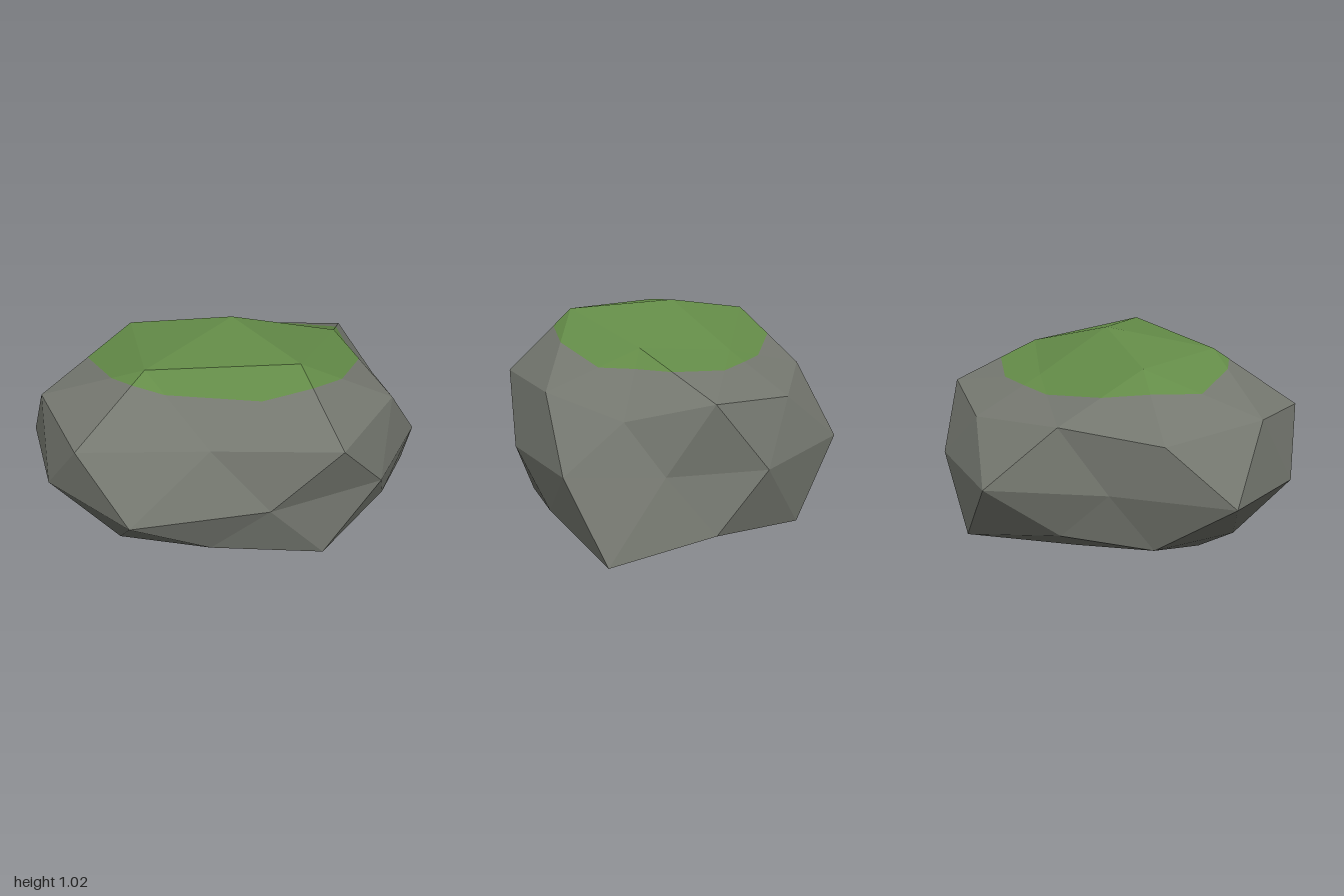
import * as THREE from 'three';

const CENTRE = new THREE.Vector3(0, 0.37, 0.035);
const SCALE = new THREE.Vector3(1, 0.59, 0.77);

// One ring of boulder corners: unit height, first angle in degrees, radius factors,
// and how far each corner lies inside (+) or outside (-) the moss patch
function ring(height, start, radii, moss) {
  const flat = Math.sqrt(1 - height * height);
  return radii.map((r, i) => {
    const a = THREE.MathUtils.degToRad(start + (i * 360) / radii.length);
    const p = new THREE.Vector3(Math.cos(a) * flat, height, Math.sin(a) * flat)
      .multiplyScalar(r).multiply(SCALE).add(CENTRE);
    p.y = Math.max(p.y, 0); // flat underside
    return { p, moss: Array.isArray(moss) ? moss[i] : moss };
  });
}

// Keep the part of a polygon inside (sign 1) or outside (sign -1) the moss patch
function clip(poly, sign) {
  const out = [];
  poly.forEach((a, i) => {
    const b = poly[(i + 1) % poly.length];
    if (a.moss * sign > 0) out.push(a.p);
    if (a.moss * b.moss < 0) out.push(a.p.clone().lerp(b.p, a.moss / (a.moss - b.moss)));
  });
  return out;
}

function surface(name, faces, sign, material) {
  const pos = [];
  for (const face of faces) {
    const pts = clip(face, sign);
    for (let i = 1; i + 1 < pts.length; i++) {
      for (const p of [pts[0], pts[i], pts[i + 1]]) pos.push(p.x, p.y, p.z);
    }
  }
  const geometry = new THREE.BufferGeometry();
  geometry.setAttribute('position', new THREE.Float32BufferAttribute(pos, 3));
  geometry.computeVertexNormals(); // unshared corners give flat facets
  const mesh = new THREE.Mesh(geometry, material);
  mesh.name = name;
  return mesh;
}

export function createModel() {
  // Corner rings from the crown down to the base
  const [top] = ring(1, 0, [1.1], 2);
  const crown = ring(0.8507, 0, [1.016, 1.225, 1.125, 1.09, 0.87], [1.05, 1, 0.6, 1.3, 0.9]);
  const shoulder = ring(0.4472, 0, [0.86, 1.165, 1.16, 0.98, 0.985], -2.57);
  const shoulderMid = ring(0.5257, 36, [1.025, 0.95, 1.115, 0.98, 1.05], -1.33);
  const waist = ring(0, 18, [0.97, 0.995, 0.935, 1.1, 1.02, 1.053, 0.81, 1.1, 0.99, 0.84], -3);
  const foot = ring(-0.4472, 36, [0.98, 0.94, 0.915, 0.9, 1.035], -3);
  const footMid = ring(-0.5257, 0, [1.176, 1.09, 0.96, 0.9, 1.14], -3);
  const base = ring(-0.8507, 36, [1, 1.1, 1.18, 1.05, 1], -3);
  const [bottom] = ring(-1, 0, [1], -3);

  // Sixteen facets in each of the five sectors
  const faces = [];
  for (let k = 0; k < 5; k++) {
    const n = (k + 1) % 5, q = (k + 4) % 5;
    const A = crown[k], A2 = crown[n], V = shoulder[k], V2 = shoulder[n], M = shoulderMid[k];
    const E0 = waist[(2 * k + 9) % 10], E1 = waist[2 * k], E2 = waist[2 * k + 1];
    const W = foot[k], L = footMid[k], L2 = footMid[n], B = base[k], B0 = base[q];
    faces.push(
      [top, A, A2], [A, M, A2], [A, V, M], [A2, M, V2],
      [V, E1, M], [M, E1, E2], [M, E2, V2], [V, E0, E1],
      [W, E1, E2], [L, E0, E1], [L, E1, W], [W, E2, L2],
      [B, L, W], [B, W, L2], [B, B0, L], [bottom, B, B0],
    );
  }

  // Turn every facet outward
  for (const f of faces) {
    const [a, b, c] = f.map((v) => v.p);
    const normal = b.clone().sub(a).cross(c.clone().sub(a));
    const mid = a.clone().add(b).add(c).divideScalar(3).sub(CENTRE);
    if (normal.dot(mid) < 0) f.reverse();
  }

  const stone = new THREE.MeshStandardMaterial({ color: 0x757870 });
  stone.name = 'stone grey';
  const green = new THREE.MeshStandardMaterial({ color: 0x648c48 });
  green.name = 'moss green';

  const group = new THREE.Group();
  group.name = 'mossyBoulder';
  group.add(surface('boulder', faces, -1, stone), surface('mossCap', faces, 1, green));
  return group;
}
